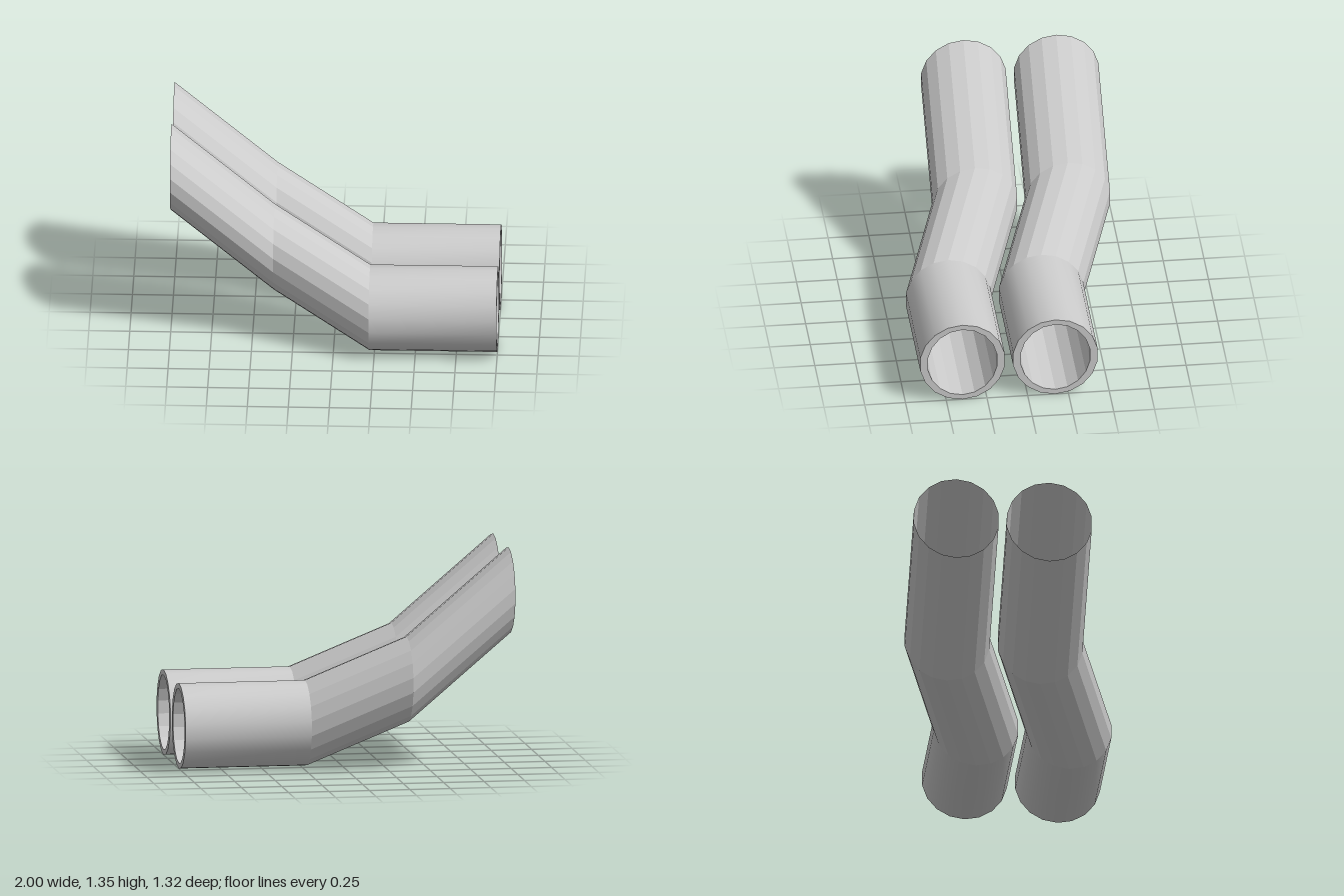
import * as THREE from 'three';

const SIDES = 18;
const R = 0.263;

// Skin a row of upright rings, each [x, y, z, radiusY, radiusZ]
function loft(name, rings, flatShading) {
  const points = [], index = [];
  rings.forEach(([x, y, z, ry, rz], i) => {
    for (let j = 0; j < SIDES; j++) {
      const t = (j / SIDES) * Math.PI * 2;
      points.push(x, y + ry * Math.cos(t), z + rz * Math.sin(t));
      if (i === rings.length - 1) continue;
      const a = i * SIDES + j;
      const b = i * SIDES + ((j + 1) % SIDES);
      index.push(a, b, a + SIDES, b, b + SIDES, a + SIDES);
    }
  });
  const geometry = new THREE.BufferGeometry();
  geometry.setAttribute('position', new THREE.Float32BufferAttribute(points, 3));
  geometry.setIndex(index);
  geometry.computeVertexNormals();
  const mesh = new THREE.Mesh(geometry, new THREE.MeshStandardMaterial({
    color: 0xcccccc, flatShading, side: THREE.DoubleSide,
  }));
  mesh.name = name;
  return mesh;
}

function createPipe(name, z) {
  const pipe = new THREE.Group();
  pipe.name = name;
  const y = 0.265;
  const upper = [-1, 1.088, z - 0.23, R, R];
  const middle = [-0.37, 0.553, z - 0.23, R, R];
  const bend = [0.22, y, z, R, R];
  const mouth = [1, y, z, R, R];

  // Faceted bent length, open at its raised end
  pipe.add(loft('bentSection', [upper, middle, bend], true));
  // Smooth straight length
  pipe.add(loft('straightSection', [bend, mouth], false));
  // Rim, bore and closed bottom of the bore
  pipe.add(loft('rimAndBore', [
    mouth,
    [1, y, z, 0.23, 0.216],
    [0.22, y, z, 0.23, 0.216],
    [0.22, y, z, 0, 0],
  ], true));
  return pipe;
}

export function createModel() {
  const model = new THREE.Group();
  model.name = 'twinPipes';
  model.add(createPipe('frontPipe', 0.4), createPipe('backPipe', -0.17));
  return model;
}
